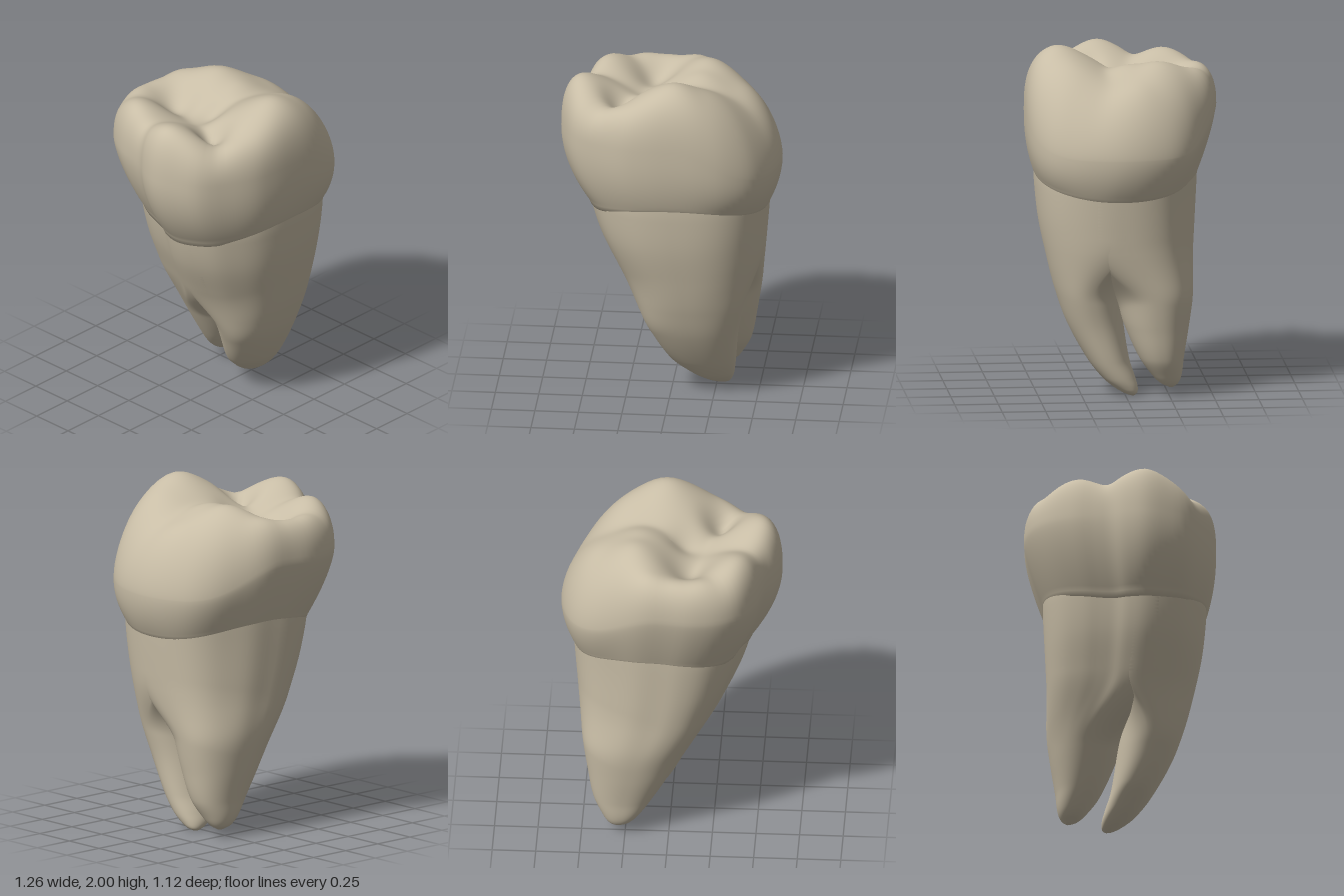
import * as THREE from 'three';

const N = 96; // points around every ring
const lerp = THREE.MathUtils.lerp;
const smooth = THREE.MathUtils.smoothstep;

// Skin a list of closed rings, ordered from top to bottom
function loft(rings) {
  const pos = [], idx = [];
  rings.forEach((ring) => ring.forEach((p) => pos.push(p[0], p[1], p[2])));
  for (let i = 0; i < rings.length - 1; i++) {
    for (let j = 0; j < N; j++) {
      const a = i * N + j, b = i * N + (j + 1) % N;
      idx.push(a, b, a + N, b, b + N, a + N);
    }
  }
  const g = new THREE.BufferGeometry();
  g.setAttribute('position', new THREE.Float32BufferAttribute(pos, 3));
  g.setIndex(idx);
  g.computeVertexNormals();
  return g;
}

// Widest outline of the crown, as x, z
const outline = new THREE.CatmullRomCurve3([
  [-0.53, -0.2], [-0.5, -0.32], [-0.42, -0.45], [-0.3, -0.53], [-0.15, -0.56], [0, -0.545],
  [0.15, -0.52], [0.3, -0.45], [0.45, -0.37], [0.55, -0.27], [0.61, -0.13], [0.63, 0.02],
  [0.61, 0.17], [0.56, 0.32], [0.48, 0.44], [0.35, 0.52], [0.2, 0.553], [0.02, 0.555],
  [-0.13, 0.545], [-0.26, 0.515], [-0.4, 0.44], [-0.54, 0.34], [-0.61, 0.2], [-0.635, 0.08],
  [-0.605, -0.03], [-0.555, -0.11],
].map(([x, z]) => new THREE.Vector3(x, 0, z)), true, 'catmullrom');

// Outline points with direction, position in the unit box (u, v) and height of the widest line
const RIM = Array.from({ length: N }, (_, j) => {
  const { x, z } = outline.getPoint(j / N);
  const d = Math.hypot(x, z), c = x / d, s = z / d;
  const side = smooth(c, 0.1, 0.95); // 1 on the long sloping side
  return { x, z, c, s, side, u: (x + 0.635) / 1.265, v: (z + 0.56) / 1.115, y: 1.62 - 0.2 * side };
});

// Cusps and rim ridges: x, z, height, slope
const CUSPS = [
  [0.04, 0.37, 2.0, 0.66], [0.19, 0.33, 1.93, 0.5], [0.2, -0.2, 1.925, 0.5], [0.17, -0.04, 1.9, 0.55],
  [0.42, -0.1, 1.86, 0.35], [-0.55, 0.1, 1.945, 0.62], [-0.41, -0.29, 1.91, 0.6], [-0.25, 0.43, 1.86, 0.5],
  [-0.2, -0.47, 1.86, 0.55], [-0.05, -0.47, 1.85, 0.5], [0.12, -0.42, 1.87, 0.5],
];
// Pits: x, z, depth, radius
const PITS = [[-0.28, 0.2, 0.07, 0.09], [-0.1, -0.24, 0.07, 0.13], [-0.08, 0.0, 0.04, 0.09]];

// Height of the chewing surface: blended cones with pits pressed in
function biteHeight(x, z) {
  const k = 60;
  let sum = Math.exp(k * (1.68 - 1.8));
  for (const [cx, cz, h, slope] of CUSPS) {
    const d = Math.hypot(x - cx, z - cz, 0.1) - 0.1;
    sum += Math.exp(k * (h - slope * d - 1.8));
  }
  let y = 1.8 + Math.log(sum) / k;
  for (const [px, pz, depth, r] of PITS) {
    y -= depth * Math.exp(-((x - px) ** 2 + (z - pz) ** 2) / (r * r));
  }
  return y;
}

// Rounded box cross-section, given a direction
function roundedBox([x0, x1, z0, z1], r, power) {
  const e = 2 / power, a = Math.atan2(2 * r.v - 1, 2 * r.u - 1);
  const c = Math.cos(a), s = Math.sin(a);
  return [
    (x0 + x1 + Math.sign(c) * Math.abs(c) ** e * (x1 - x0)) / 2,
    (z0 + z1 + Math.sign(s) * Math.abs(s) ** e * (z1 - z0)) / 2,
  ];
}

// Trunk cross-section: crown outline fitted to a box and squared off, except at the back right
function trunkSection(box, r, square) {
  const [x, z] = roundedBox(box, r, 2.4);
  const k = square * (1 - (1 - r.u) * (1 - r.v)) ** 2;
  return [lerp(lerp(box[0], box[1], r.u), x, k), lerp(lerp(box[2], box[3], r.v), z, k)];
}

function crownGeometry() {
  const rings = [];
  // Chewing surface, from the centre out to the widest line
  const top = 56;
  for (let i = 0; i <= top; i++) {
    const s = 1 - (1 - i / top) ** 2;
    rings.push(RIM.map((r) => {
      const x = r.x * s, z = r.z * s;
      const rise = (1 - s ** lerp(11, 4.5, r.side)) ** lerp(0.4, 0.62, r.side);
      return [x, lerp(r.y, biteHeight(x, z), rise), z];
    }));
  }
  // Bulging sides, narrowing to a wavy neck line
  const neckY = (r) => 1.275 - 0.085 * r.c * r.c;
  const neck = (r) => trunkSection([-0.48, 0.568, -0.447, 0.507], r, 0.6);
  for (let i = 1; i <= 16; i++) {
    const t = i / 16;
    rings.push(RIM.map((r) => {
      const [nx, nz] = neck(r);
      const w = t ** (1.9 + 0.6 * r.s);
      return [lerp(r.x, nx, w), lerp(r.y, neckY(r), t), lerp(r.z, nz, w)];
    }));
  }
  // Underside tucked in against the roots
  for (const [s, drop] of [[0.975, 0.03], [0.9, 0.04]]) {
    rings.push(RIM.map((r) => {
      const [nx, nz] = neck(r);
      return [nx * s, neckY(r) - drop, nz * s];
    }));
  }
  return loft(rings);
}

// Smoothly interpolate rows of y, x min, x max, z min, z max (y falling)
function boxAt(rows, height) {
  const last = rows.length - 1;
  const y = THREE.MathUtils.clamp(height, rows[last][0], rows[0][0]);
  let i = 0;
  while (i < last - 1 && y < rows[i + 1][0]) i++;
  const span = rows[i + 1][0] - rows[i][0];
  const t = (y - rows[i][0]) / span;
  const slope = (k, c) => {
    const a = rows[Math.max(k - 1, 0)], b = rows[Math.min(k + 1, last)];
    return (b[c] - a[c]) / (b[0] - a[0]);
  };
  return [1, 2, 3, 4].map((c) => {
    const p = rows[i][c], q = rows[i + 1][c];
    return p + (q - p) * t * t * (3 - 2 * t)
      + span * t * (1 - t) * (slope(i, c) * (1 - t) - slope(i + 1, c) * t);
  });
}

// Shared trunk above the fork
const TRUNK = [
  [1.32, -0.48, 0.566, -0.446, 0.503], [1.2, -0.467, 0.561, -0.441, 0.5], [1.0, -0.41, 0.545, -0.428, 0.48],
  [0.8, -0.32, 0.525, -0.413, 0.44], [0.6, -0.22, 0.495, -0.398, 0.39], [0.4, -0.12, 0.465, -0.37, 0.32],
];
const FRONT_ROOT = [
  [0.87, -0.355, 0.485, -0.02, 0.455], [0.73, -0.285, 0.455, 0.02, 0.425], [0.58, -0.21, 0.425, 0.02, 0.385],
  [0.4, -0.12, 0.39, 0.0, 0.32], [0.2, -0.005, 0.37, -0.03, 0.21], [0.1, 0.1, 0.357, -0.06, 0.13],
  [0.05, 0.165, 0.343, -0.073, 0.07], [0.015, 0.225, 0.325, -0.07, 0.01], [0, 0.27, 0.3, -0.055, -0.03],
];
const BACK_ROOT = [
  [0.85, -0.27, 0.528, -0.418, 0.19], [0.72, -0.2, 0.515, -0.41, 0.13], [0.58, -0.12, 0.498, -0.398, 0.06],
  [0.4, -0.02, 0.47, -0.37, 0.0], [0.22, 0.09, 0.435, -0.338, -0.08], [0.12, 0.165, 0.385, -0.325, -0.15],
  [0.07, 0.22, 0.35, -0.305, -0.2], [0.047, 0.275, 0.315, -0.275, -0.25],
];

// One root: its half of the trunk at the top, easing into its own section below the fork
function rootGeometry(rows, keepHalf) {
  const steps = 90, rings = [];
  const tip = rows[rows.length - 1];
  for (let i = 0; i <= steps; i++) {
    const y = tip[0] + (1.32 - tip[0]) * (1 - i / steps) ** 1.5;
    const trunk = boxAt(TRUNK, y), own = boxAt(rows, y);
    rings.push(RIM.map((r) => {
      const [x, z] = trunkSection(trunk, r, 0.6 + 0.3 * (1 - smooth(y, 0.8, 1.2)));
      const b = roundedBox(own, r, 2.2);
      // The fork opens higher on the left than on the right
      const free = 1 - smooth(y, lerp(0.4, 0.56, r.u), lerp(0.76, 0.94, r.u));
      return [lerp(x, b[0], free), y, lerp(keepHalf(z), b[1], free)];
    }));
  }
  // Close the tip
  rings.push(RIM.map(() => [(tip[1] + tip[2]) / 2, tip[0], (tip[3] + tip[4]) / 2]));
  return loft(rings);
}

export function createModel() {
  const group = new THREE.Group();
  group.name = 'molarTooth';
  const ivory = new THREE.MeshStandardMaterial({ color: 0xc8bda6 });
  ivory.name = 'ivory';
  const add = (name, geometry) => {
    const mesh = new THREE.Mesh(geometry, ivory);
    mesh.name = name;
    group.add(mesh);
  };
  add('crown', crownGeometry());
  add('frontRoot', rootGeometry(FRONT_ROOT, (z) => Math.max(z, 0.02)));
  add('backRoot', rootGeometry(BACK_ROOT, (z) => Math.min(z, 0.2)));
  return group;
}
